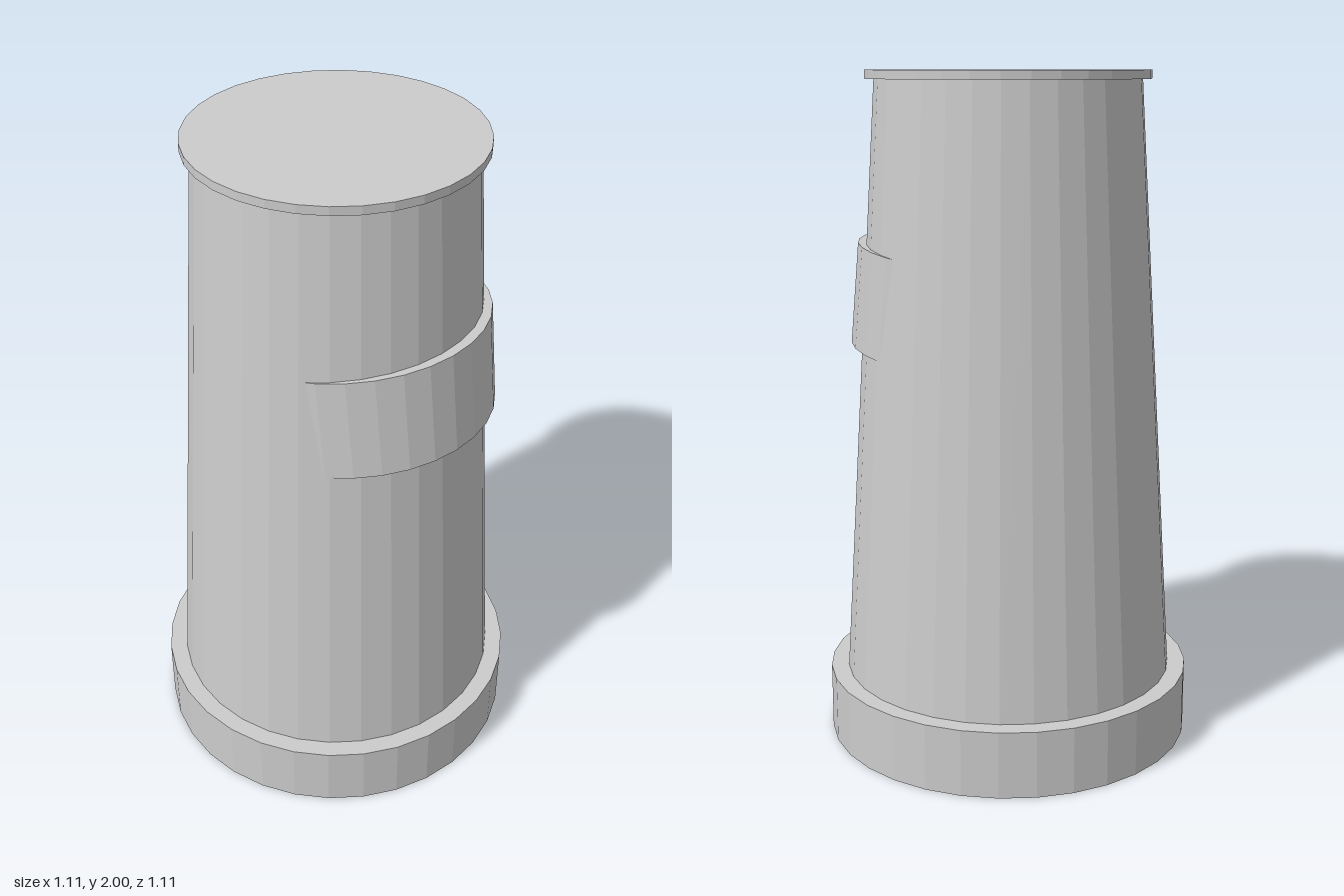
import * as THREE from 'three';

const SIDES = 32;

export function createModel() {
  const group = new THREE.Group();
  const material = new THREE.MeshStandardMaterial({ color: 0xcccccc, flatShading: true });

  // Faceted, closed drum spanning y0..y1
  const drum = (name, rTop, rBottom, y0, y1) => {
    const mesh = new THREE.Mesh(
      new THREE.CylinderGeometry(rTop, rBottom, y1 - y0, SIDES), material);
    mesh.name = name;
    mesh.position.y = (y0 + y1) / 2;
    group.add(mesh);
    return mesh;
  };

  drum('base', 0.553, 0.553, 0, 0.2);
  drum('taperedBody', 0.386, 0.5, 0.2, 1.99);
  drum('topCap', 0.413, 0.413, 1.975, 2);

  // Tilted drum set into the body; only a crescent band shows on the +x side
  const band = drum('sideBand', 0.4, 0.4, 1.175, 1.475);
  band.position.x = 0.065;
  band.rotation.z = 0.1;

  return group;
}
